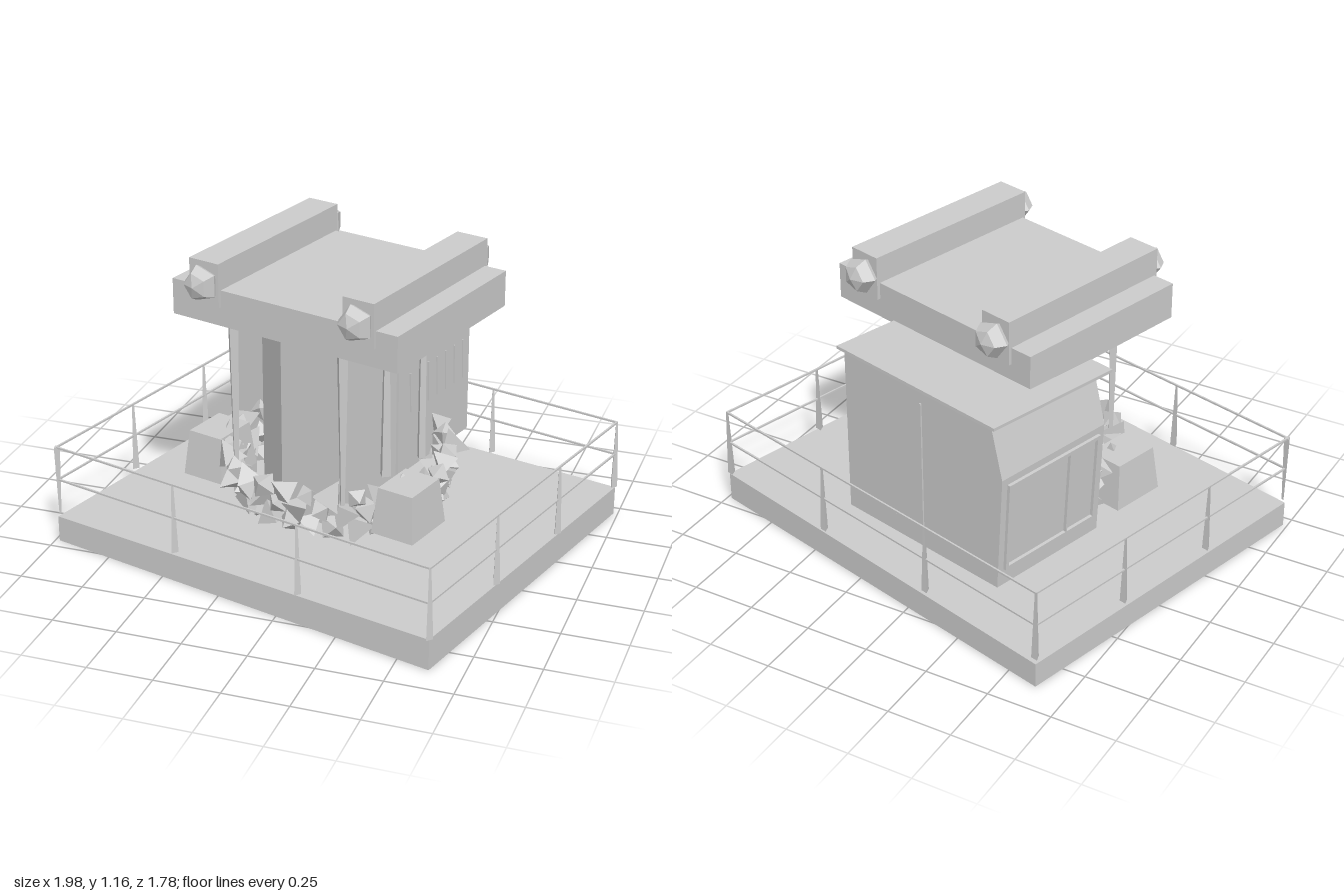
import * as THREE from 'three';

const mat = new THREE.MeshStandardMaterial({ color: 0xcccccc, flatShading: true, side: THREE.DoubleSide });

export function createModel() {
  const root = new THREE.Group();
  const model = new THREE.Group();
  model.name = 'tiltedPlatformModel';
  model.rotation.y = -Math.PI / 12;
  root.add(model);

  const add = (name, geo, x = 0, y = 0, z = 0, parent = model) => {
    const m = new THREE.Mesh(geo, mat);
    m.name = name;
    m.position.set(x, y, z);
    parent.add(m);
    return m;
  };
  // box given by its min and max corners
  const box = (name, x0, x1, y0, y1, z0, z1, parent = model) =>
    add(name, new THREE.BoxGeometry(x1 - x0, y1 - y0, z1 - z0),
      (x0 + x1) / 2, (y0 + y1) / 2, (z0 + z1) / 2, parent);
  const extrude = (points, depth) => new THREE.ExtrudeGeometry(
    new THREE.Shape(points.map(p => new THREE.Vector2(...p))), { depth, bevelEnabled: false });
  let seed = 7;
  const rand = () => (seed = (seed * 16807) % 2147483647) / 2147483647;

  // base: slightly sloping top, open underneath
  const W = 0.833, D = 0.692;
  const baseGeo = new THREE.BoxGeometry(2 * W, 0.11, 2 * D).translate(0, 0.055, 0);
  const p = baseGeo.attributes.position;
  for (let i = 0; i < p.count; i++)
    if (p.getY(i) > 0.05) p.setY(i, 0.11 + 0.009 * Math.sign(p.getX(i)) + 0.003 * Math.sign(p.getZ(i)));
  const idx = Array.from(baseGeo.index.array);
  idx.splice(18, 6);
  baseGeo.setIndex(idx);
  baseGeo.clearGroups();
  add('base', baseGeo);

  // railing: tapered posts at corners and thirds, two thin rails per side
  const railing = new THREE.Group();
  railing.name = 'railing';
  model.add(railing);
  const RW = W - 0.006, RD = D - 0.006;
  const corners = [[-RW, RD], [RW, RD], [RW, -RD], [-RW, -RD]];
  corners.forEach(([x, z], k) => {
    const [x2, z2] = corners[(k + 1) % 4];
    for (let i = 0; i < 3; i++) {
      const up = k === 0 && i === 0;
      add('railPost', new THREE.CylinderGeometry(up ? 0.014 : 0.005, up ? 0.005 : 0.016, 0.28, 3),
        x + (x2 - x) * i / 3, 0.26, z + (z2 - z) * i / 3, railing);
    }
    for (const y of [0.262, 0.398]) {
      const len = Math.hypot(x2 - x, z2 - z);
      const rail = add('rail', new THREE.BoxGeometry(len, 0.007, 0.007), (x + x2) / 2, y, (z + z2) / 2, railing);
      rail.rotation.y = Math.atan2(z - z2, x2 - x);
    }
  });

  // central column with one chamfered corner
  const column = add('column', extrude(
    [[-0.25, 0.1], [0.19, 0.1], [0.18, -0.27], [-0.08, -0.27], [-0.25, -0.15]], 0.755), 0, 0.165, 0);
  column.rotation.x = -Math.PI / 2;

  // slender tapered supports under the roof
  for (const s of [-1, 1])
    for (const [x, z, top, bottom] of [[0.24, 0.34, 0.024, 0.01], [0.24, 0.05, 0.012, 0.024], [0.27, -0.155, 0.014, 0.018]])
      add('roofSupport', new THREE.CylinderGeometry(top, bottom, 0.6, 4), s * x, 0.615, z);

  // ring of crumpled rocks in three tiers
  const rocks = new THREE.Group();
  rocks.name = 'rockRing';
  model.add(rocks);
  for (let tier = 0; tier < 3; tier++) {
    const n = 30;
    for (let i = 0; i < n; i++) {
      const a = ((i + tier * 0.5) / n) * Math.PI * 2;
      const r = 0.39 + 0.02 * tier + (rand() - 0.5) * 0.03;
      const rock = add('rock', i % 2 ? new THREE.OctahedronGeometry(0.052) : new THREE.TetrahedronGeometry(0.068),
        Math.cos(a) * r, 0.215 + 0.07 * tier, Math.sin(a) * r, rocks);
      rock.rotation.set(rand() * 6, rand() * 6, rand() * 6);
      rock.scale.setScalar(0.85 + rand() * 0.25);
    }
  }

  // tapered blocks beside the rocks
  for (const s of [-1, 1]) {
    const block = add('sideBlock', new THREE.CylinderGeometry(0.115, 0.14, 0.18, 4, 1, false, Math.PI / 4), s * 0.43, 0.305, 0.19);
    block.scale.set(0.9, 1, 1.15);
  }

  // cab: side profile with a bulging nose
  const cab = new THREE.Group();
  cab.name = 'cab';
  model.add(cab);
  add('cabBody', extrude([[-0.57, 0.25], [0.2, 0.235], [0.2, 0.905], [-0.545, 0.895], [-0.595, 0.71]], 0.515), 0, 0, -0.615, cab);
  const roof = box('cabRoof', -0.59, 0.2, 0.914, 0.926, -0.65, -0.06, cab);
  roof.rotation.x = 0.03;
  // window frame on the nose, tilted with it
  const nose = new THREE.Group();
  nose.name = 'noseWindow';
  nose.position.set(-0.584, 0.5, -0.358);
  nose.rotation.z = 0.054;
  cab.add(nose);
  for (const s of [-1, 1]) {
    box('windowBar', -0.012, 0.005, s * 0.175 - 0.007, s * 0.175 + 0.007, -0.23, 0.23, nose);
    box('windowPost', -0.012, 0.005, -0.175, 0.175, s * 0.223 - 0.007, s * 0.223 + 0.007, nose);
  }
  box('windowDivider', -0.012, 0.005, -0.17, 0.17, 0.075, 0.082, nose);
  // vent slits, back seam and latch
  for (let i = 0; i < 7; i++) {
    const slit = box('ventSlit', 0.195, 0.206, 0.475, 0.64, -0.183 - i * 0.064, -0.178 - i * 0.064, cab);
    slit.rotation.x = 0.04;
  }
  box('backSeam', -0.2, -0.193, 0.33, 0.85, -0.621, -0.61, cab);
  box('backLatch', -0.06, -0.02, 0.32, 0.328, -0.621, -0.61, cab);

  // flat roof, two beams on top, faceted lamps at the beam ends
  box('roofSlab', -0.49, 0.49, 0.915, 1.055, -0.372, 0.372);
  for (const s of [-1, 1]) {
    const beam = box('roofBeam', -0.065, 0.065, 0.99, 1.16, -0.385, 0.385);
    beam.position.x = s * 0.335;
    for (const e of [-1, 1]) {
      const lamp = add('beamLamp', new THREE.SphereGeometry(0.072, 5, 4), s * 0.335, 1.077, e * 0.4);
      lamp.rotation.x = e * Math.PI / 2;
      lamp.scale.set(1, 0.8, 1);
    }
  }
  return root;
}
